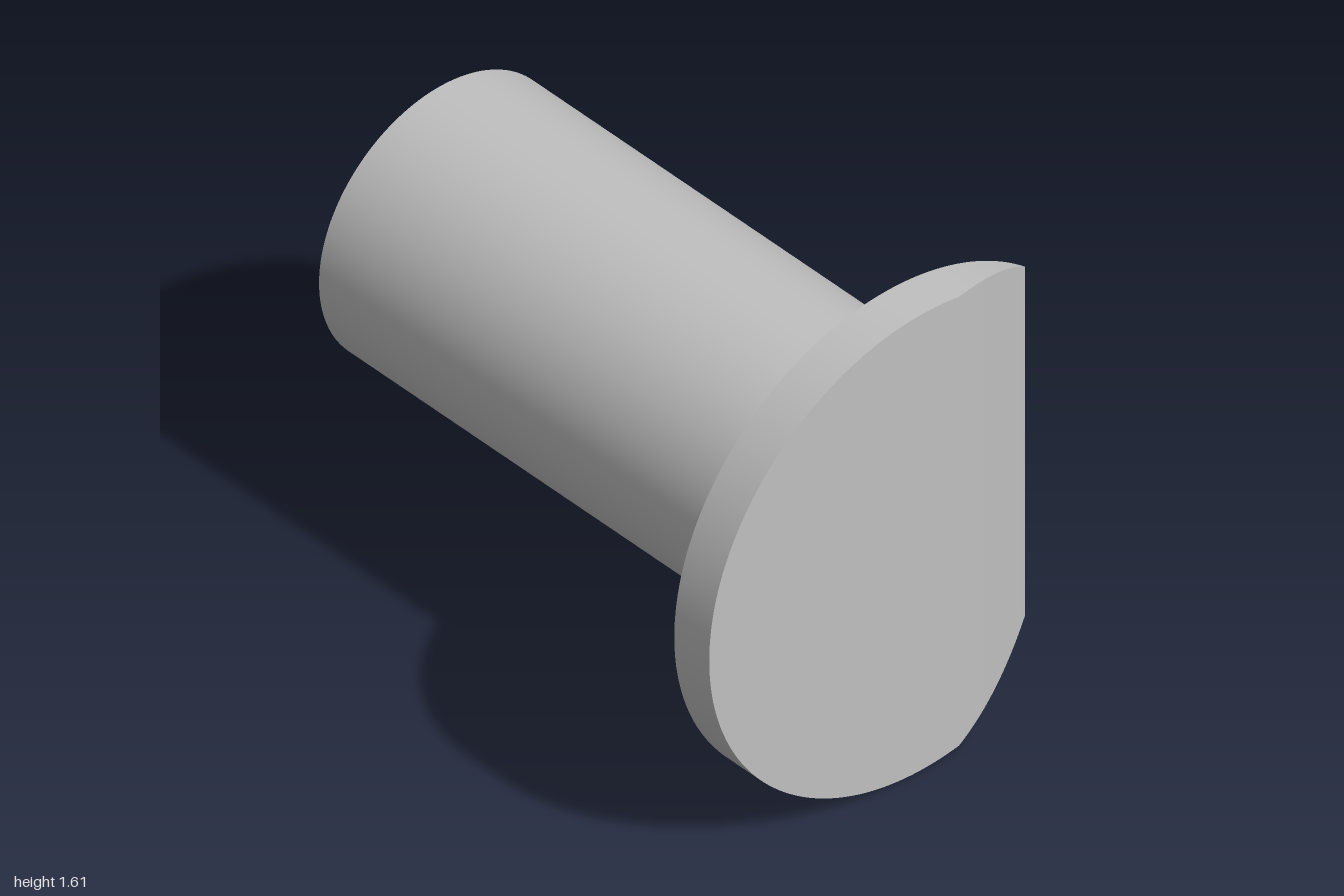
import * as THREE from 'three';
import { toCreasedNormals } from 'three/addons/utils/BufferGeometryUtils.js';

const CX = 0.143, CY = 0.806, R = 0.805;      // shared axis and flange radius
const BACK = 0.855, FRONT = 1;                // flange thickness range in z
const BEVEL_X = 0.28, EDGE_X = 0.66;          // bevel start and its sharp edge

// Front surface depth: flat, then a slightly bulged bevel down to the back face
function frontZ(x) {
  const t = Math.min(Math.max((x - BEVEL_X) / (EDGE_X - BEVEL_X), 0), 1);
  return FRONT - (FRONT - BACK) * t + 0.032 * t * (1 - t);
}

// Smooth ribbon between two equally long rows of points
function ribbon(p, q) {
  const positions = [], index = [];
  p.forEach((a, i) => {
    positions.push(...a, ...q[i]);
    if (i > 0) {
      const k = 2 * (i - 1);
      index.push(k, k + 2, k + 1, k + 1, k + 2, k + 3);
    }
  });
  const g = new THREE.BufferGeometry();
  g.setAttribute('position', new THREE.Float32BufferAttribute(positions, 3));
  g.setIndex(index);
  g.computeVertexNormals();
  return g;
}

export function createModel() {
  const model = new THREE.Group();
  model.name = 'flangedSleeve';
  const grey = new THREE.MeshStandardMaterial({ color: 0xc0c0c0 });
  grey.name = 'grey';

  const add = (name, geometry, parent) => {
    const mesh = new THREE.Mesh(geometry, grey);
    mesh.name = name;
    parent.add(mesh);
    return mesh;
  };

  // Angles along the upper half of the flange, split where the bevel begins
  const angleAt = (x) => Math.acos((x - CX) / R);
  const span = (a, b, n) => Array.from({ length: n + 1 }, (_, i) => a + (b - a) * i / n);
  const bevelAngles = span(angleAt(EDGE_X), angleAt(BEVEL_X), 16);
  const flatAngles = span(angleAt(BEVEL_X), Math.PI, 48);
  const upper = [...bevelAngles, ...flatAngles.slice(1)];
  const around = [...upper, ...upper.slice(0, -1).reverse().map((a) => 2 * Math.PI - a)];

  const onFront = (a) => {
    const x = CX + R * Math.cos(a);
    return [x, CY + R * Math.sin(a), frontZ(x)];
  };
  const onBack = (a) => [CX + R * Math.cos(a), CY + R * Math.sin(a), BACK];
  const mirror = (a) => -a;

  // Flange: flat face, bevel, back face and rim
  const flange = new THREE.Group();
  flange.name = 'flange';
  model.add(flange);
  add('flangeFace', ribbon(flatAngles.map(onFront), flatAngles.map(mirror).map(onFront)), flange);
  add('flangeBevel', ribbon(bevelAngles.map(onFront), bevelAngles.map(mirror).map(onFront)), flange);
  add('flangeBack', ribbon(upper.map(mirror).map(onBack), upper.map(onBack)), flange);
  add('flangeRim', ribbon(around.map(onBack), around.map(onFront)), flange);

  // Hollow sleeve running back from the flange
  const ring = new THREE.Shape().absarc(0, 0, 0.457, 0, Math.PI * 2, false);
  ring.holes.push(new THREE.Path().absarc(0, 0, 0.315, 0, Math.PI * 2, true));
  const tube = new THREE.ExtrudeGeometry(ring, { depth: BACK + 1, bevelEnabled: false, curveSegments: 72 });
  add('sleeve', toCreasedNormals(tube, 0.6), model).position.set(CX, CY, -1);

  return model;
}
